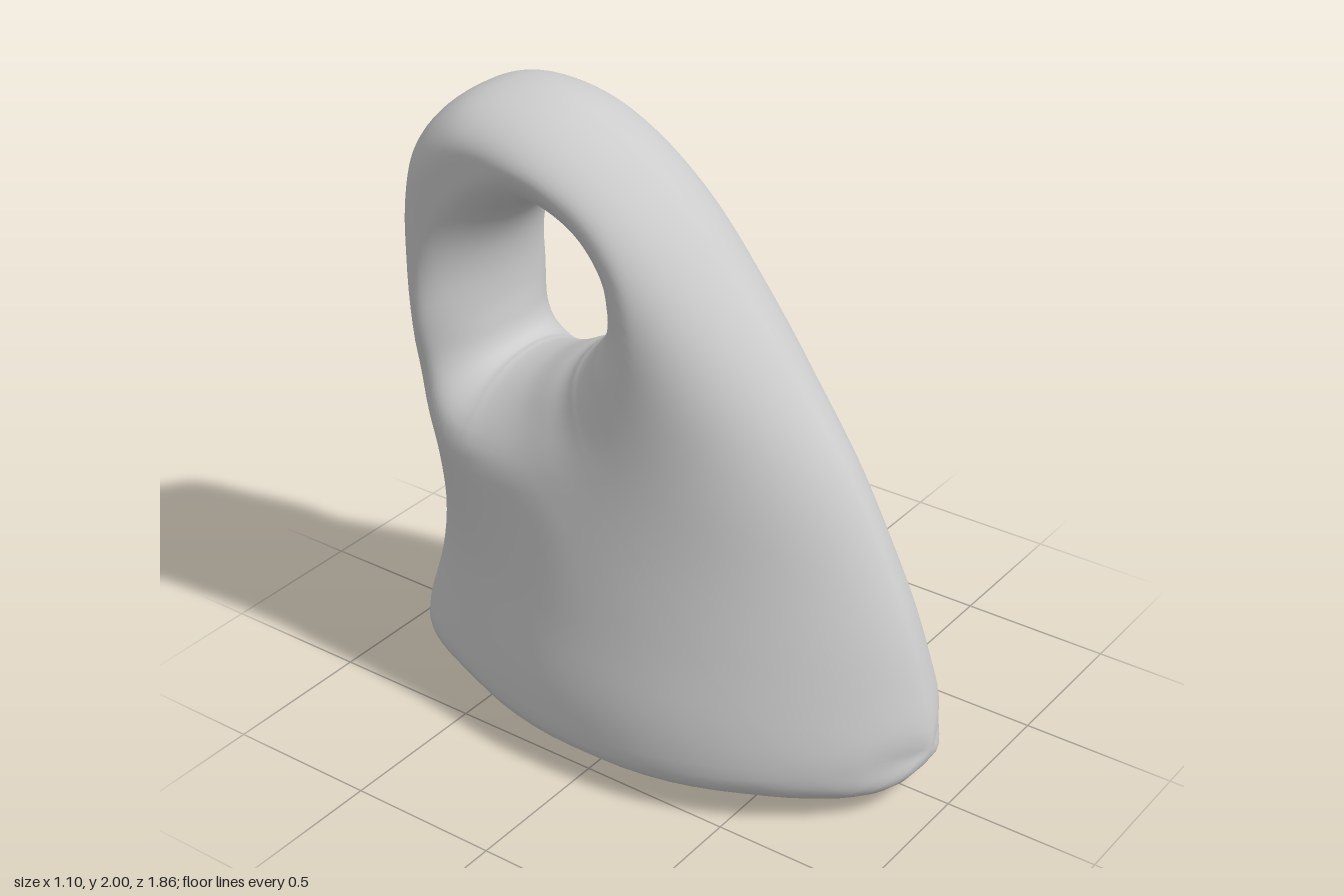
import * as THREE from 'three';

// Paired control points [z, y]: outer outline and hole rim, front base -> top -> back -> base
const OUTER = [[.93, .18], [.88, .42], [.8, .65], [.62, 1], [.41, 1.28], [.2, 1.53], [0, 1.74], [-.2, 1.89],
  [-.4, 1.98], [-.57, 2], [-.7, 1.975], [-.81, 1.9], [-.89, 1.79], [-.925, 1.63], [-.925, 1.45], [-.88, 1.05],
  [-.845, .8], [-.83, .6], [-.85, .4], [-.905, .2], [-.91, .14], [-.88, .08], [-.8, .05], [-.5, .02],
  [0, .003], [.5, .02], [.82, .05], [.9, .1]];
const HOLE = [[-.27, 1.24], [-.24, 1.27], [-.215, 1.31], [-.19, 1.35], [-.18, 1.4], [-.185, 1.45], [-.2, 1.51],
  [-.26, 1.59], [-.34, 1.64], [-.43, 1.665], [-.5, 1.64], [-.56, 1.6], [-.61, 1.54], [-.645, 1.47], [-.665, 1.38],
  [-.668, 1.27], [-.66, 1.2], [-.65, 1.15], [-.635, 1.12], [-.62, 1.108], [-.605, 1.1], [-.59, 1.1], [-.57, 1.1],
  [-.52, 1.11], [-.46, 1.13], [-.38, 1.17], [-.32, 1.2], [-.29, 1.225]];
const STEP = 6, BASE_START = 20 * STEP, RINGS = OUTER.length * STEP, HALF = 32;

// Smooth lookup of values given every 0.25 in height
const byHeight = (values) => {
  const curve = new THREE.SplineCurve(values.map((v, i) => new THREE.Vector2(i, v)));
  return (y) => curve.getPoint(THREE.MathUtils.clamp(y / 2, 0, 1)).y;
};
const halfWidth = byHeight([.555, .54, .475, .41, .35, .31, .29, .285, .28]);
const frontRound = byHeight([.88, .85, .8, .7, .5, .32, .22, .18, .165]);
const backRound = byHeight([.85, .8, .65, .42, .2, .13, .13, .15, .165]);

const sample = (points) => {
  const curve = new THREE.CatmullRomCurve3(points.map(([z, y]) => new THREE.Vector3(0, y, z)), true);
  return Array.from({ length: RINGS + 1 }, (_, i) => curve.getPoint((i % RINGS) / RINGS));
};

// Shortest distance from a point to a polyline
const line = new THREE.Line3(), near = new THREE.Vector3();
const distance = (p, poly) => {
  let best = Infinity;
  for (let i = 1; i < poly.length; i++) {
    line.set(poly[i - 1], poly[i]).closestPointToPoint(p, true, near);
    best = Math.min(best, near.distanceToSquared(p));
  }
  return Math.sqrt(best);
};

// Rounded edge: 0 at the edge, 1 from the given radius inwards
const edge = (d, radius, power) => Math.pow(1 - (1 - Math.min(d / radius, 1)) ** 2, power);

export function createModel() {
  const outer = sample(OUTER), hole = sample(HOLE);
  const upper = outer.slice(0, BASE_START + 1), base = outer.slice(BASE_START);
  const { lerp, smoothstep } = THREE.MathUtils;

  // Half thickness of the body at a point of the side profile
  const thickness = (p) => {
    const front = smoothstep(p.z, -.75, -.15);
    const round = lerp(backRound(p.y), frontRound(p.y), front);
    const rim = lerp(.14, .2, front) + .12 * (1 - smoothstep(p.y, 1, 1.3));
    return halfWidth(p.y)
      * edge(distance(p, upper), round, lerp(.38, .62, smoothstep(p.z, -.85, -.4)))
      * edge(distance(p, base), .13, .3)
      * edge(distance(p, hole), rim, .5);
  };

  // Closed cross-sections swept around the hole
  const pos = [], index = [], loop = 2 * HALF, p = new THREE.Vector3();
  for (let i = 0; i < RINGS; i++) {
    const widths = [];
    for (let j = 0; j < loop; j++) {
      const k = j <= HALF ? j : loop - j;
      p.lerpVectors(hole[i], outer[i], (1 - Math.cos(Math.PI * k / HALF)) / 2);
      if (j <= HALF) widths[j] = k % HALF === 0 ? 0 : thickness(p);
      pos.push(j <= HALF ? widths[k] : -widths[k], p.y, p.z);
      const i2 = (i + 1) % RINGS, j2 = (j + 1) % loop;
      const a = i * loop + j, b = i2 * loop + j, c = i2 * loop + j2, d = i * loop + j2;
      index.push(a, b, d, b, c, d);
    }
  }
  const geometry = new THREE.BufferGeometry();
  geometry.setAttribute('position', new THREE.Float32BufferAttribute(pos, 3));
  geometry.setIndex(index);
  geometry.computeVertexNormals();

  const body = new THREE.Mesh(geometry, new THREE.MeshStandardMaterial({ color: 0xcccccc }));
  body.name = 'bodyWithHandle';
  const group = new THREE.Group();
  group.name = 'handledWeight';
  group.add(body);
  return group;
}
